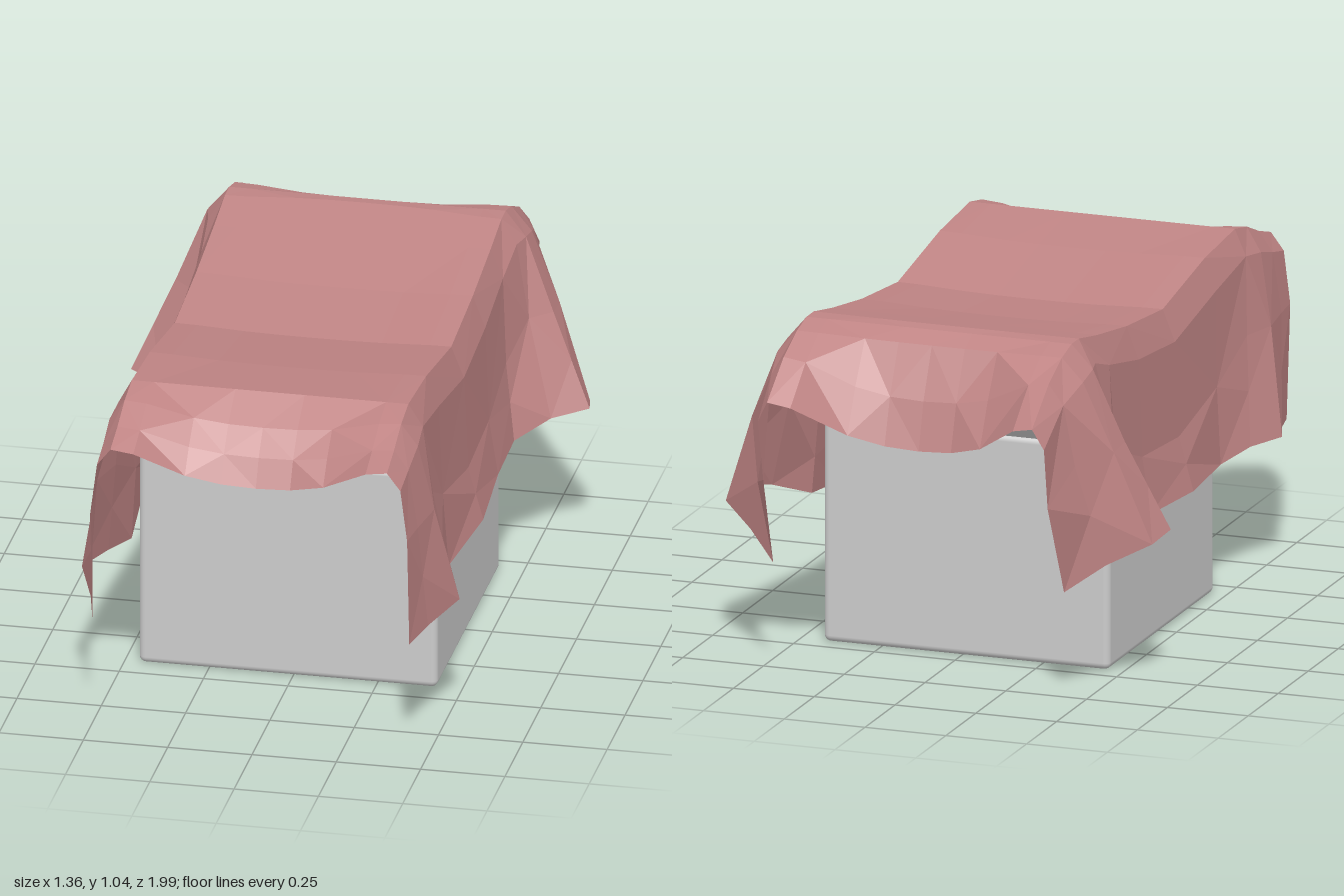
import * as THREE from 'three';
import { RoundedBoxGeometry } from 'three/addons/geometries/RoundedBoxGeometry.js';

// Half sections of the cloth, front to back: centre [y, z], then ridge, mid flank and hem as [x, y, z]
const SECTIONS = [
  [[0.80, 0.90], [0.41, 0.93, 1.00], [0.47, 0.72, 1.00], [0.47, 0.38, 0.97]],
  [[0.88, 0.86], [0.41, 0.96, 0.90], [0.48, 0.72, 0.90], [0.50, 0.39, 0.85]],
  [[0.95, 0.80], [0.41, 1.00, 0.80], [0.50, 0.72, 0.76], [0.56, 0.41, 0.69]],
  [[1.02, 0.70], [0.41, 1.02, 0.70], [0.47, 0.72, 0.64], [0.51, 0.41, 0.56]],
  [[0.99, 0.45], [0.41, 1.00, 0.45], [0.455, 0.62, 0.43], [0.47, 0.39, 0.42]],
  [[0.93, 0.10], [0.41, 0.94, 0.10], [0.46, 0.56, 0.10], [0.505, 0.40, 0.10]],
  [[0.96, -0.20], [0.41, 0.97, -0.20], [0.458, 0.58, -0.20], [0.485, 0.41, -0.20]],
  [[1.01, -0.45], [0.41, 1.01, -0.45], [0.46, 0.66, -0.43], [0.49, 0.43, -0.40]],
  [[1.045, -0.62], [0.41, 1.04, -0.60], [0.50, 0.75, -0.56], [0.58, 0.47, -0.49]],
  [[1.04, -0.66], [0.41, 1.04, -0.66], [0.56, 0.75, -0.62], [0.68, 0.48, -0.56]],
  [[1.01, -0.72], [0.41, 1.02, -0.74], [0.56, 0.74, -0.71], [0.66, 0.46, -0.66]],
  [[0.86, -0.79], [0.41, 0.97, -0.85], [0.48, 0.72, -0.82], [0.55, 0.41, -0.75]],
  [[0.72, -0.83], [0.41, 0.87, -0.99], [0.44, 0.62, -0.94], [0.45, 0.34, -0.83]],
];

// One full cross-section of cloth, mirrored about the middle
function clothRow([[yc, zc], ridge, mid, hem]) {
  const R = new THREE.Vector3(...ridge), M = new THREE.Vector3(...mid), H = new THREE.Vector3(...hem);
  const half = [0.25, 0.5, 0.84].map((t) => {
    const k = (t / 0.88) ** 2.4; // the sag rises towards the ridge
    return new THREE.Vector3(R.x * t, yc + (R.y - yc) * k, zc + (R.z - zc) * k);
  });
  const shoulder = R.clone().lerp(M, 0.25);
  shoulder.x += 0.025;
  half.push(R, shoulder, M, M.clone().lerp(H, 0.5), H);
  const left = half.map((p) => new THREE.Vector3(-p.x, p.y, p.z)).reverse();
  return [...left, new THREE.Vector3(0, yc, zc), ...half];
}

function clothGeometry() {
  const rows = SECTIONS.map(clothRow), n = rows[0].length;
  const index = [];
  for (let i = 0; i < rows.length - 1; i++) {
    for (let j = 0; j < n - 1; j++) {
      const a = i * n + j, b = a + 1, c = a + n, d = c + 1;
      // alternate the diagonals for a crumpled look
      if ((i + j) % 2) index.push(a, b, c, b, d, c);
      else index.push(a, b, d, a, d, c);
    }
  }
  const geo = new THREE.BufferGeometry().setFromPoints(rows.flat());
  geo.setIndex(index);
  geo.computeVertexNormals();
  return geo;
}

// Saddle block: side profile in (z, y), flaring to a ridge at each end
function saddleGeometry() {
  const s = new THREE.Shape();
  s.moveTo(0.40, 0.64);
  s.lineTo(0.41, 0.68);
  s.quadraticCurveTo(0.52, 0.80, 0.67, 0.95);
  s.lineTo(0.65, 0.97);
  s.quadraticCurveTo(0.08, 0.81, -0.62, 0.99);
  s.lineTo(-0.66, 0.96);
  s.quadraticCurveTo(-0.53, 0.80, -0.43, 0.68);
  s.lineTo(-0.42, 0.64);
  const depth = 0.82;
  const geo = new THREE.ExtrudeGeometry(s, {
    depth, curveSegments: 10, bevelSize: 0.012, bevelThickness: 0.012, bevelSegments: 1,
  });
  return geo.translate(0, 0, -depth / 2).rotateY(-Math.PI / 2);
}

export function createModel() {
  const model = new THREE.Group();
  model.name = 'drapedBlock';
  const grey = new THREE.MeshStandardMaterial({ color: 0xcccccc });
  const pink = new THREE.MeshStandardMaterial({ color: 0xbf8484, flatShading: true, side: THREE.DoubleSide });

  const add = (name, geo, mat) => {
    const mesh = new THREE.Mesh(geo, mat);
    mesh.name = name;
    model.add(mesh);
    return mesh;
  };

  // Base block with softened edges
  add('baseBlock', new RoundedBoxGeometry(0.885, 0.68, 0.88, 3, 0.02), grey).position.set(-0.015, 0.34, -0.01);
  // Flared support under the cloth
  add('saddleSupport', saddleGeometry(), grey).position.x = -0.012;
  // Draped cloth
  add('cloth', clothGeometry(), pink).position.x = -0.01;
  return model;
}
